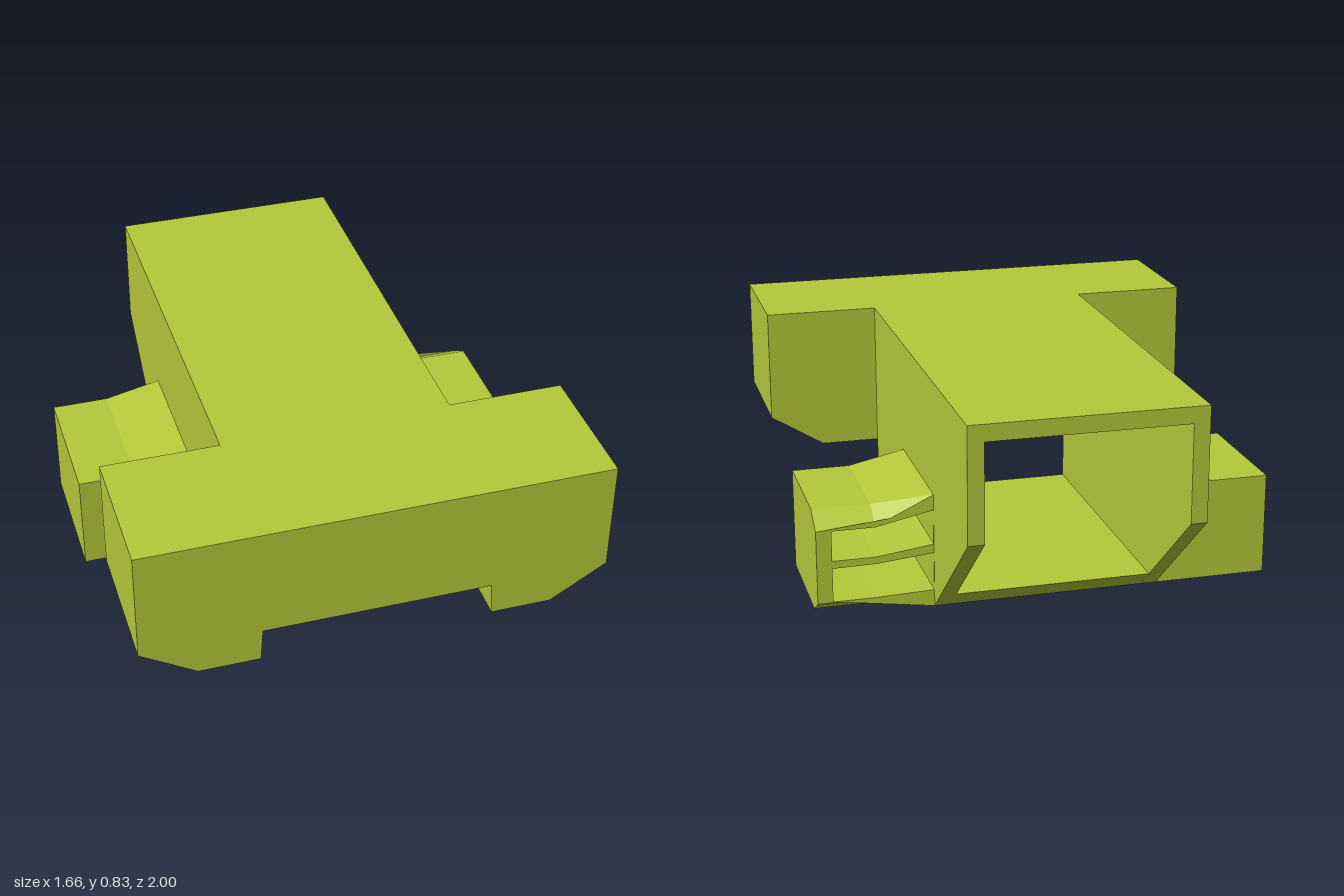
import * as THREE from 'three';

const lime = new THREE.MeshStandardMaterial({ color: 0xb5c93a });
lime.name = 'lime';

const toVectors = (points) => points.map(([x, y]) => new THREE.Vector2(x, y));

// Prism along z from z0 to z1, with optional holes.
function prismZ(points, z0, z1, holes = []) {
  const shape = new THREE.Shape(toVectors(points));
  shape.holes = holes.map((h) => new THREE.Path(toVectors(h)));
  const geometry = new THREE.ExtrudeGeometry(shape, { depth: z1 - z0, bevelEnabled: false });
  return geometry.translate(0, 0, z0);
}

// Prism along x from x0 to x1; the profile is given as [z, y].
function prismX(points, x0, x1) {
  return prismZ(points.map(([z, y]) => [-z, y]), x0, x1).rotateY(Math.PI / 2);
}

export function createModel() {
  const group = new THREE.Group();
  const add = (name, geometry) => {
    const mesh = new THREE.Mesh(geometry, lime);
    mesh.name = name;
    group.add(mesh);
  };

  const W = 0.413, inner = 0.355, H = 0.833;
  const front = 0.5;

  // Hollow body: two side walls, floor and roof, cut off obliquely at the back
  const side = [[front, 0], [front, H], [-1, H], [-1, 0.42], [-0.5, 0]];
  add('leftWall', prismX(side, inner, W));
  add('rightWall', prismX(side, -W, -inner));
  add('floor', prismX([[front, 0], [front, 0.075], [-0.589, 0.075], [-0.5, 0]], -inner, inner));
  add('roof', prismX([[front, H - 0.06], [front, H], [-1, H], [-1, H - 0.06]], -inner, inner));

  // Crossbar with two chamfered feet
  add('crossbar', prismZ([
    [-0.83, H], [-0.83, 0.42], [-0.63, 0.297], [-W, 0.297], [-0.405, 0.42],
    [0.405, 0.42], [W, 0.297], [0.63, 0.297], [0.83, 0.42], [0.83, H],
  ], front, 1));

  // Side pods share one outline
  const root = 0.4;
  const outline = [[root, 0], [W, 0], [0.62, 0], [0.83, 0], [0.83, 0.375], [0.62, 0.375], [W, 0.42], [root, 0.42]];
  add('rightPod', prismZ(outline.map(([x, y]) => [-x, y]), -0.5, 0));

  // Left pod has two through slots with a bent shelf between them
  const slotStart = W + 0.001;
  const slots = [
    [[slotStart, 0.062], [0.62, 0.055], [0.775, 0.055], [0.775, 0.18], [0.62, 0.182], [slotStart, 0.202]],
    [[slotStart, 0.235], [0.62, 0.208], [0.775, 0.208], [0.775, 0.319], [0.62, 0.319], [slotStart, 0.362]],
  ];
  add('leftPod', prismZ(outline, -0.415, 0, slots));

  // Its rear end is chamfered above and below, fading out towards the body
  const rear = prismZ(outline, -0.5, -0.415, slots);
  const p = rear.attributes.position;
  for (let i = 0; i < p.count; i++) {
    if (p.getZ(i) > -0.49 || p.getX(i) < 0.6) continue;
    if (p.getY(i) > 0.37) p.setY(i, 0.322);
    else if (p.getY(i) < 0.01) p.setY(i, 0.052);
  }
  rear.computeVertexNormals();
  add('leftPodRear', rear);

  return group;
}
